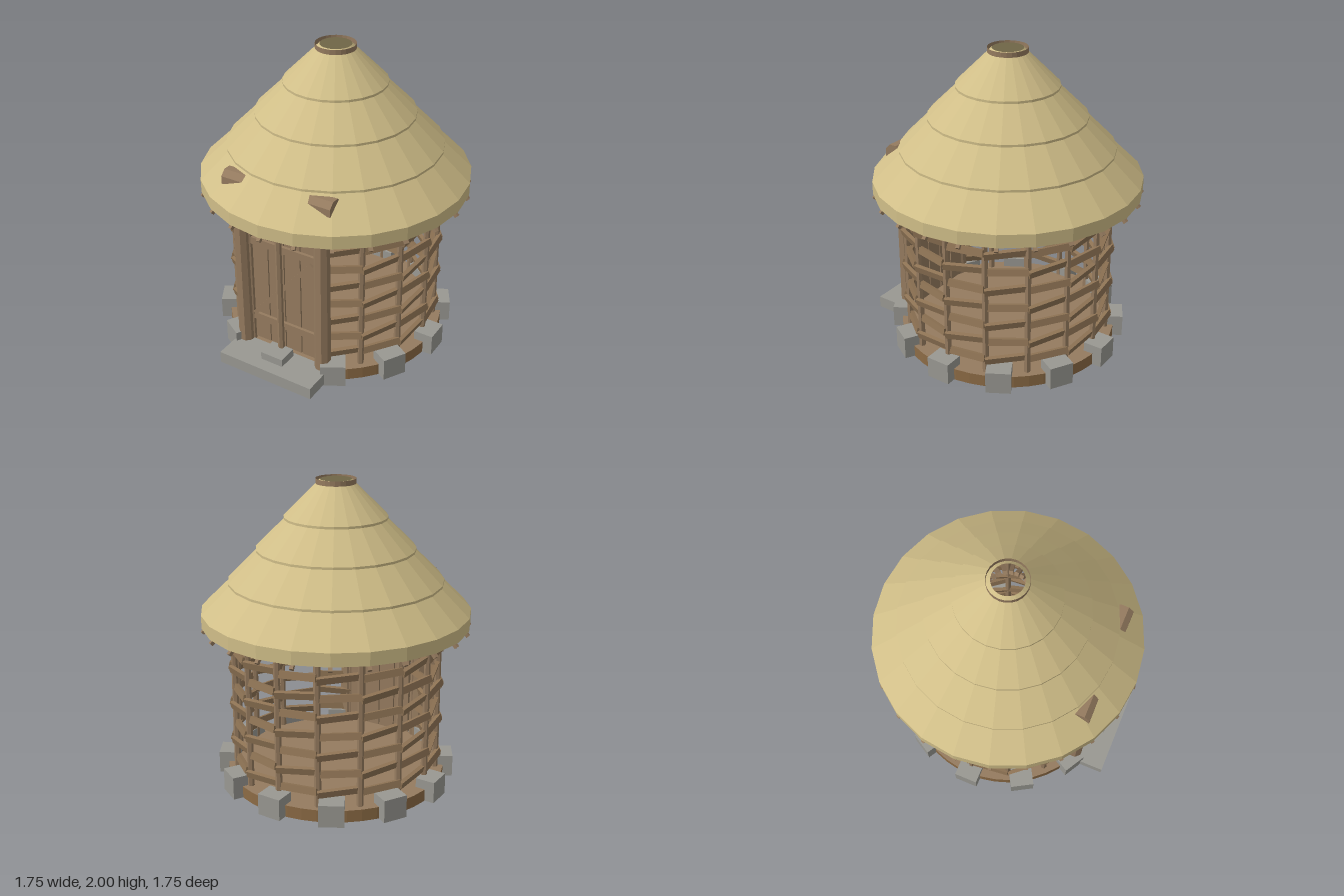
import * as THREE from 'three';

const mat = (name, color, extra = {}) => {
  const m = new THREE.MeshStandardMaterial({ color, flatShading: true, ...extra });
  m.name = name;
  return m;
};

export function createModel() {
  const hut = new THREE.Group();
  hut.name = 'hut';
  const thatch = mat('thatch', 0xd0be88, { side: THREE.DoubleSide });
  const wood = mat('wood', 0x957b5f, { side: THREE.DoubleSide });
  const wicker = mat('wicker', 0x8e7354);
  const earth = mat('earth', 0x8c6b45);
  const stone = mat('stone', 0x999892);

  const add = (name, geo, material, x = 0, y = 0, z = 0, parent = hut) => {
    const m = new THREE.Mesh(geo, material);
    m.name = name;
    m.position.set(x, y, z);
    parent.add(m);
    return m;
  };
  const group = (name) => {
    const g = new THREE.Group();
    g.name = name;
    hut.add(g);
    return g;
  };
  const polar = (r, a, y) => new THREE.Vector3(r * Math.sin(a), y, r * Math.cos(a));
  // Square-cut timber running from a to b
  const beam = (name, a, b, w, h, material, parent, roll = 0) => {
    const m = add(name, new THREE.BoxGeometry(w, h, a.distanceTo(b)), material, 0, 0, 0, parent);
    m.position.copy(a).add(b).multiplyScalar(0.5);
    m.lookAt(b);
    m.rotateZ(roll);
    return m;
  };

  // Round floor with wooden top
  add('floor', new THREE.CylinderGeometry(0.725, 0.725, 0.08, 48), [earth, wood, wood], 0, 0.04, 0);

  // Ring of foundation stones and the doorstep
  const stones = group('foundationStones');
  for (let i = 0; i < 12; i++) {
    const a = (i * Math.PI) / 6;
    const h = 0.143 + 0.004 * (i % 3);
    const p = polar(0.72, a, h / 2);
    add('foundationStone', new THREE.BoxGeometry(0.16, h, 0.13), stone, p.x, p.y, p.z, stones).rotation.y = a;
  }
  add('doorstep', new THREE.BoxGeometry(0.69, 0.08, 0.24), stone, 0, 0.05, 0.75);

  // Woven wall: upright stakes and overlapping slats
  const wall = group('wovenWall');
  const step = Math.PI / 8;
  for (let k = 0; k < 16; k++) {
    const p = polar(0.67, k * step, 0.63);
    add('wallStake', new THREE.CylinderGeometry(0.02, 0.022, 1.14, 6), wood, p.x, p.y, p.z, wall);
  }
  for (let k = 1; k < 15; k++) {
    for (let row = 0; row < 8; row++) {
      const s = (k + row) % 2 ? 1 : -1;
      const y = 0.18 + row * 0.125;
      beam('wallSlat', polar(0.68 + 0.014 * s, k * step, y - 0.01), polar(0.68 - 0.014 * s, (k + 1) * step, y + 0.01),
        0.026, 0.045, wicker, wall, 0.22 * s);
    }
  }

  // Door frame: two stout posts and a log lintel
  for (const s of [-1, 1]) {
    add('doorPost', new THREE.CylinderGeometry(0.048, 0.054, 1.2, 8).rotateY(step), wood, 0.295 * s, 0.68, 0.64);
  }
  add('lintel', new THREE.CylinderGeometry(0.065, 0.065, 0.77, 8).rotateY(step).rotateZ(Math.PI / 2),
    wood, 0, 1.27, 0.633);

  // Plank door with cross battens and diagonal brace
  const door = group('door');
  for (let i = 0; i < 4; i++) {
    add('doorPlank', new THREE.BoxGeometry(0.112, 0.98, 0.025), wood, -0.18 + i * 0.12, 0.59, 0.6, door);
  }
  for (const y of [0.28, 0.855, 1.065]) {
    add('doorBatten', new THREE.BoxGeometry(0.47, 0.05, 0.02), wood, 0, y, 0.622, door);
  }
  beam('doorBrace', new THREE.Vector3(-0.22, 0.31, 0.635), new THREE.Vector3(0.22, 0.83, 0.635),
    0.02, 0.03, wood, door);

  // Thatched roof in four stepped tiers
  const profile = [
    [0.87, 1.08], [0.87, 1.165],
    [0.685, 1.345], [0.692, 1.345], [0.692, 1.36],
    [0.503, 1.55], [0.51, 1.55], [0.51, 1.565],
    [0.323, 1.75], [0.33, 1.75], [0.33, 1.765],
    [0.1, 1.995],
  ].map(([r, y]) => new THREE.Vector2(r, y));
  add('thatchRoof', new THREE.LatheGeometry(profile, 24), thatch);
  add('smokeRing', new THREE.CylinderGeometry(0.128, 0.128, 0.032, 24, 1, true), wood, 0, 1.984, 0);

  // Rafters poking out under the eaves
  const rafters = group('rafters');
  for (let i = 0; i < 24; i++) {
    const a = (i * Math.PI) / 12;
    beam('rafter', polar(0.866, a, 1.05), polar(0.13, a, 1.8), 0.024, 0.024, wood, rafters);
  }
  return hut;
}
